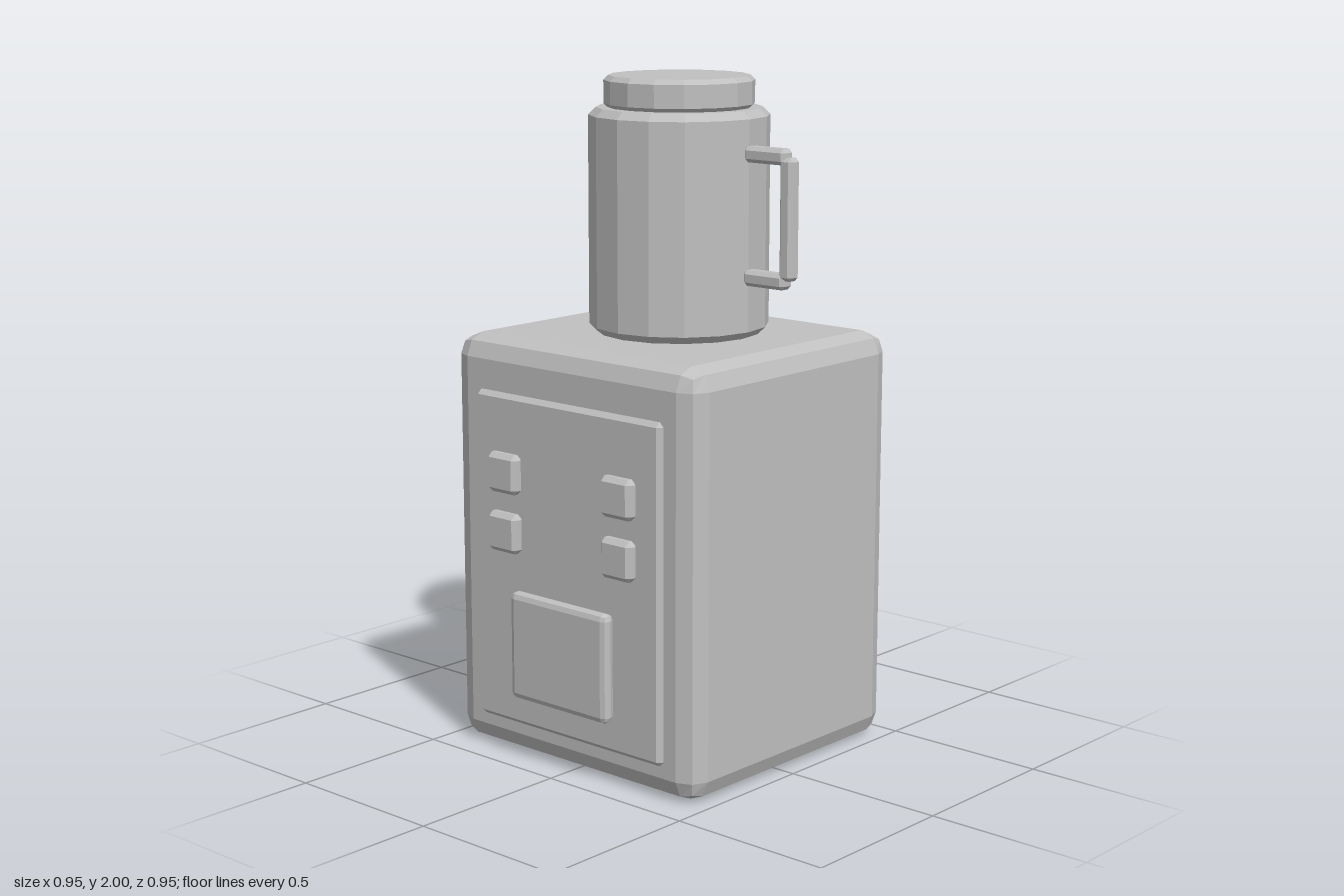
import * as THREE from 'three';
import { RoundedBoxGeometry } from 'three/addons/geometries/RoundedBoxGeometry.js';
import { ConvexGeometry } from 'three/addons/geometries/ConvexGeometry.js';

// Box with every edge cut by a single chamfer c
function chamferBox(w, h, d, c) {
  const points = [];
  for (const sx of [-1, 1]) for (const sy of [-1, 1]) for (const sz of [-1, 1]) {
    for (let axis = 0; axis < 3; axis++) {
      const size = [w, h, d].map((s, i) => s / 2 - (i === axis ? 0 : c));
      points.push(new THREE.Vector3(sx * size[0], sy * size[1], sz * size[2]));
    }
  }
  return new ConvexGeometry(points);
}

// Upright sixteen-sided drum with chamfered rims
function chamferDrum(radius, y0, y1, c) {
  const profile = [
    [0, y0], [radius - c, y0], [radius, y0 + c],
    [radius, y1 - c], [radius - c, y1], [0, y1],
  ].map(([x, y]) => new THREE.Vector2(x, y));
  return new THREE.LatheGeometry(profile, 16);
}

export function createModel() {
  const model = new THREE.Group();
  model.name = 'dispenser';
  const grey = new THREE.MeshStandardMaterial({ color: 0xc0c0c0 });
  grey.name = 'grey';
  grey.flatShading = true;

  const add = (name, geometry, x = 0, y = 0, z = 0, parent = model) => {
    const mesh = new THREE.Mesh(geometry, grey);
    mesh.name = name;
    mesh.position.set(x, y, z);
    parent.add(mesh);
    return mesh;
  };

  // Cabinet with softly rounded edges
  add('cabinet', new RoundedBoxGeometry(0.95, 1.25, 0.89, 1, 0.065), 0, 0.625, -0.03);

  // Raised front panel, buttons and hatch
  add('frontPanel', chamferBox(0.73, 0.995, 0.06, 0.014), 0, 0.598, 0.401);
  for (const side of [-1, 1]) {
    for (const y of [0.69, 0.867]) {
      add('button', chamferBox(0.118, 0.118, 0.042, 0.014), side * 0.225, y, 0.449);
    }
  }
  add('hatch', new RoundedBoxGeometry(0.385, 0.326, 0.045, 1, 0.02), 0, 0.358, 0.45);

  // Canister standing on the cabinet
  const canister = new THREE.Group();
  canister.name = 'canister';
  canister.position.z = -0.06;
  model.add(canister);
  add('canisterBody', chamferDrum(0.266, 1.25, 1.908, 0.022), 0, 0, 0, canister);
  add('canisterCap', chamferDrum(0.221, 1.905, 2, 0.014), 0, 0, 0, canister);

  // Handle: two short arms and an upright grip
  for (const y of [1.434, 1.789]) {
    add('handleArm', chamferBox(0.15, 0.046, 0.05, 0.011), 0.337, y, 0, canister);
  }
  add('handleGrip', chamferBox(0.047, 0.35, 0.046, 0.011), 0.415, 1.613, 0, canister);

  return model;
}
